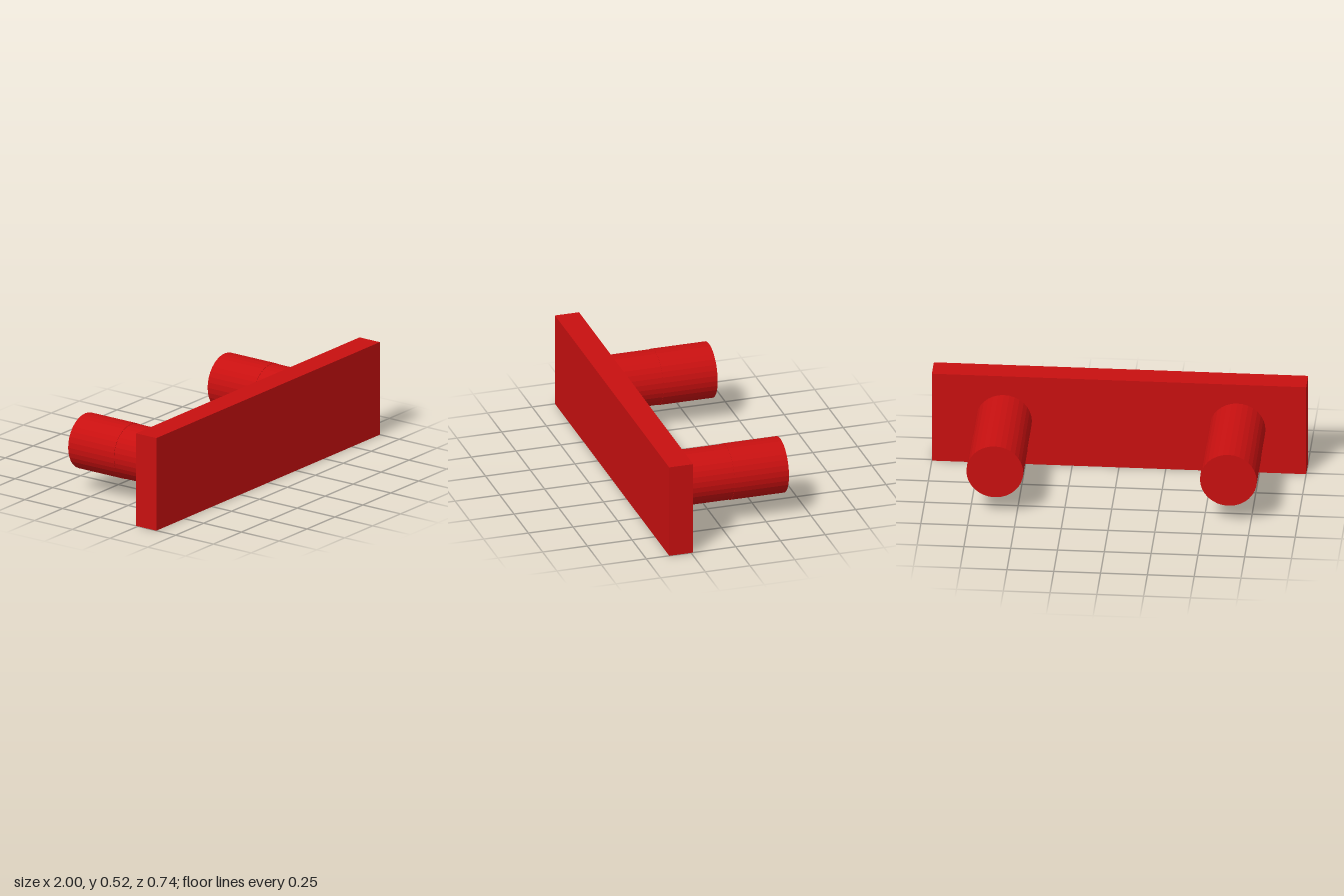
import * as THREE from 'three';

export function createModel() {
  const model = new THREE.Group();
  const red = new THREE.MeshStandardMaterial({ color: 0xc81010, flatShading: true });

  const add = (parent, name, geometry, x, y, z) => {
    const mesh = new THREE.Mesh(geometry, red);
    mesh.name = name;
    mesh.position.set(x, y, z);
    parent.add(mesh);
  };

  // Cylinder lying along z, between two depths
  const addRod = (parent, name, radius, zFront, zBack) => {
    const geometry = new THREE.CylinderGeometry(radius, radius, zFront - zBack, 32);
    geometry.rotateX(Math.PI / 2);
    add(parent, name, geometry, 0, 0, (zFront + zBack) / 2);
  };

  // Front plate
  add(model, 'frontPlate', new THREE.BoxGeometry(2, 0.52, 0.134), 0, 0.26, 0.305);

  // Two pegs behind the plate, each of an inner and a slightly wider outer section
  for (const [name, x] of [['rightPeg', -0.633], ['leftPeg', 0.615]]) {
    const peg = new THREE.Group();
    peg.name = name;
    peg.position.set(x, 0.26, 0);
    addRod(peg, 'innerSection', 0.15, 0.234, -0.069);
    addRod(peg, 'outerSection', 0.152, -0.069, -0.372);
    model.add(peg);
  }

  return model;
}
